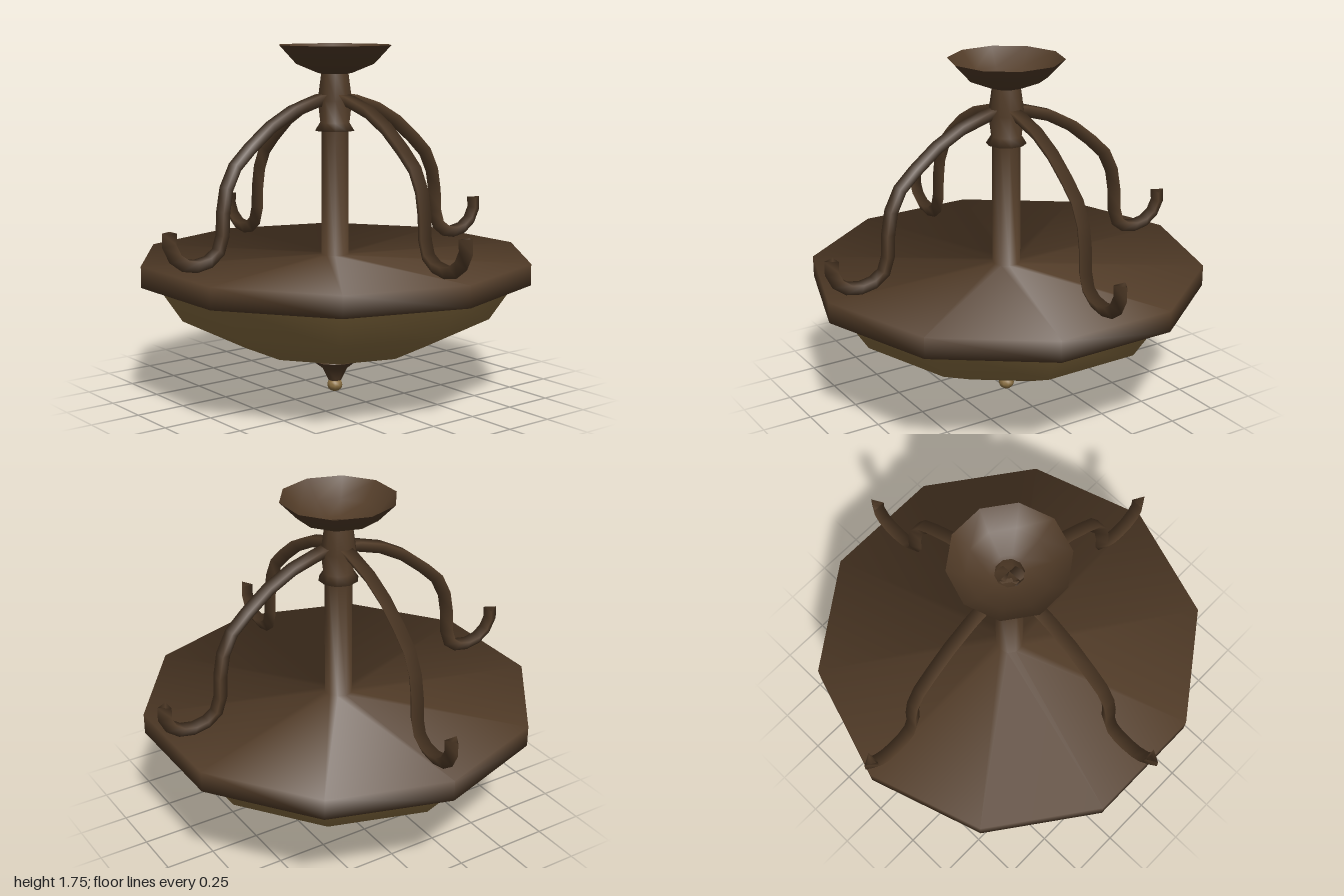
import * as THREE from 'three';

const SIDES = 10;

// Ten-sided lathe (profile runs bottom to top) with evenly averaged smooth normals
function turned(name, profile, material) {
  const pts = profile.map(([r, y]) => new THREE.Vector2(r, y));
  const geo = new THREE.LatheGeometry(pts, SIDES, Math.PI / 2);
  const segs = pts.slice(1).map((p, i) => {
    const d = p.clone().sub(pts[i]).normalize();
    return new THREE.Vector2(d.y, -d.x);
  });
  const normals = pts.map((p, i) => {
    const n = new THREE.Vector2();
    if (i > 0) n.add(segs[i - 1]);
    if (i < segs.length) n.add(segs[i]);
    return n.normalize();
  });
  const attr = geo.attributes.normal;
  for (let i = 0; i <= SIDES; i++) {
    const a = Math.PI / 2 + (i / SIDES) * Math.PI * 2;
    normals.forEach((n, j) =>
      attr.setXYZ(i * pts.length + j, n.x * Math.sin(a), n.y, n.x * Math.cos(a)));
  }
  const mesh = new THREE.Mesh(geo, material);
  mesh.name = name;
  return mesh;
}

// Triangular bar swept along a path in the xy plane, ridge on the underside
function armGeometry(path, width, height) {
  const pts = path.map(([x, y]) => new THREE.Vector2(x, y));
  const pos = [], index = [];
  pts.forEach((p, i) => {
    const a = pts[Math.max(i - 1, 0)], b = pts[Math.min(i + 1, pts.length - 1)];
    const t = b.clone().sub(a).normalize();
    const nx = -t.y, ny = t.x;
    const lo = -height * 0.55, hi = height * 0.45;
    pos.push(p.x + nx * lo, p.y + ny * lo, 0);
    pos.push(p.x + nx * hi, p.y + ny * hi, -width / 2);
    pos.push(p.x + nx * hi, p.y + ny * hi, width / 2);
  });
  for (let i = 0; i < pts.length - 1; i++) {
    for (let k = 0; k < 3; k++) {
      const a = i * 3 + k, b = i * 3 + (k + 1) % 3;
      index.push(a, b, a + 3, b, b + 3, a + 3);
    }
  }
  const geo = new THREE.BufferGeometry();
  geo.setAttribute('position', new THREE.Float32BufferAttribute(pos, 3));
  geo.setIndex(index);
  geo.computeVertexNormals();
  return geo;
}

export function createModel() {
  const bronze = new THREE.MeshStandardMaterial({ color: 0x523c28, side: THREE.DoubleSide });
  bronze.name = 'bronze';
  const amber = new THREE.MeshStandardMaterial({ color: 0x8b7042, side: THREE.DoubleSide });
  amber.name = 'amber glass';

  const group = new THREE.Group();
  group.name = 'ceilingLamp';

  // Rim ring, flat cover and hollow stem
  group.add(turned('rimAndStem', [
    [0.9, 0.605], [0.985, 0.605], [0.985, 0.71], [0.07, 0.71], [0.07, 1.33],
  ], bronze));

  // Flared collar and hub where the arms meet
  group.add(turned('hub', [
    [0.07, 1.33], [0.1, 1.33], [0.075, 1.37], [0.088, 1.48], [0.07, 1.61],
  ], bronze));

  // Open ceiling canopy
  group.add(turned('canopy', [
    [0.07, 1.61], [0.09, 1.615], [0.2, 1.66], [0.285, 1.75],
  ], bronze));

  // Glass bowl
  group.add(turned('bowl', [
    [0, 0.165], [0.115, 0.17], [0.47, 0.265], [0.785, 0.425], [0.905, 0.605],
  ], amber));

  // Finial and its end bead
  group.add(turned('finial', [
    [0.033, 0.06], [0.04, 0.075], [0.065, 0.125], [0.115, 0.165],
  ], bronze));
  const bead = new THREE.Mesh(new THREE.SphereGeometry(0.04, 10, 6), amber);
  bead.name = 'finialBead';
  bead.scale.y = 0.85;
  bead.position.y = 0.034;
  group.add(bead);

  // Four scrolled arms
  const arm = armGeometry([
    [0.03, 1.49], [0.11, 1.478], [0.25, 1.435], [0.38, 1.365], [0.5, 1.27],
    [0.585, 1.19], [0.635, 1.09], [0.655, 0.98], [0.66, 0.87], [0.685, 0.795],
    [0.74, 0.755], [0.81, 0.742], [0.88, 0.755], [0.935, 0.795], [0.965, 0.855],
    [0.963, 0.915],
  ], 0.067, 0.058);
  for (let i = 0; i < 4; i++) {
    const mesh = new THREE.Mesh(arm, bronze);
    mesh.name = 'arm' + (i + 1);
    mesh.rotation.y = (i * Math.PI) / 2;
    group.add(mesh);
  }

  return group;
}
